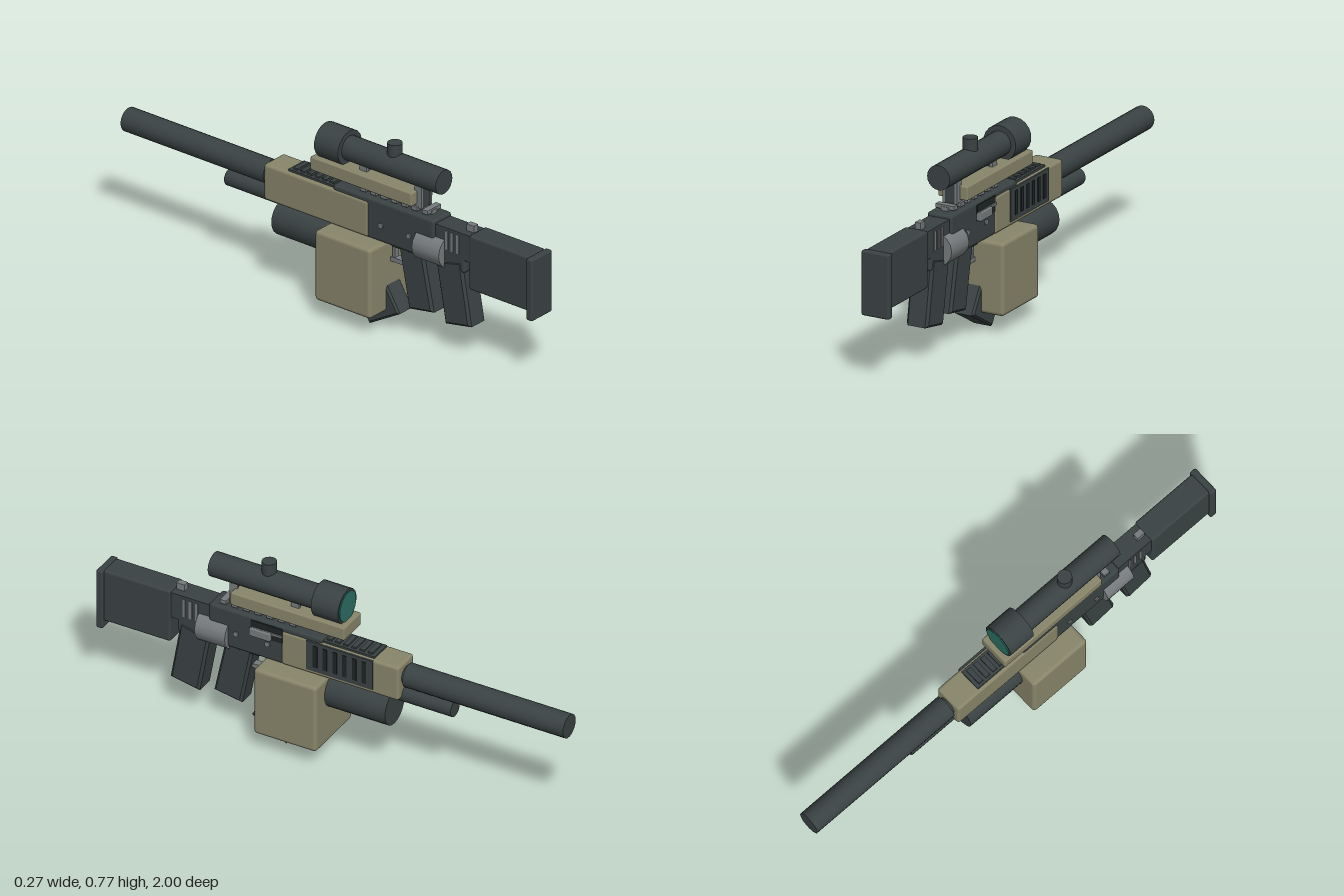
import * as THREE from 'three';
import { RoundedBoxGeometry } from 'three/addons/geometries/RoundedBoxGeometry.js';

const mat = (name, color) => {
  const m = new THREE.MeshStandardMaterial({ color });
  m.name = name;
  return m;
};

export function createModel() {
  const dark = mat('dark gunmetal', 0x3a4243);
  const black = mat('slot black', 0x1f2425);
  const tan = mat('olive tan', 0x88856a);
  const grey = mat('steel grey', 0x777b7d);
  const teal = mat('lens teal', 0x2b6f64);

  const root = new THREE.Group();
  root.name = 'toyBlaster';

  const add = (name, geo, m, x = 0, y = 0, z = 0) => {
    const mesh = new THREE.Mesh(geo, m);
    mesh.name = name;
    mesh.position.set(x, y, z);
    root.add(mesh);
    return mesh;
  };
  // Box from its extents; r rounds the edges
  const box = (name, m, [x0, x1], [y0, y1], [z0, z1], r = 0) => {
    const s = [x1 - x0, y1 - y0, z1 - z0];
    const geo = r ? new RoundedBoxGeometry(...s, 2, r) : new THREE.BoxGeometry(...s);
    return add(name, geo, m, (x0 + x1) / 2, (y0 + y1) / 2, (z0 + z1) / 2);
  };
  const wide = (name, m, w, y, z, r) => box(name, m, [-w, w], y, z, r);
  // Cylinder lying along z
  const tube = (name, m, r, y, [z0, z1], sides = 20) => {
    const geo = new THREE.CylinderGeometry(r, r, z1 - z0, sides).rotateX(Math.PI / 2);
    return add(name, geo, m, 0, y, (z0 + z1) / 2);
  };
  // Side outline of [z, y] points, extruded across x with bevelled edges
  const slab = (name, m, halfWidth, pts, b = 0.008) => {
    const shape = new THREE.Shape(pts.map(([z, y]) => new THREE.Vector2(-z, y)));
    const geo = new THREE.ExtrudeGeometry(shape, {
      depth: 2 * (halfWidth - b), bevelEnabled: true, bevelSize: b, bevelOffset: -b,
      bevelThickness: b, bevelSegments: 1,
    });
    geo.translate(0, 0, -(halfWidth - b)).rotateY(Math.PI / 2);
    return add(name, geo, m);
  };

  // Stock and receiver
  wide('buttPad', dark, 0.06, [0.268, 0.525], [0.97, 1], 0.008);
  wide('stock', dark, 0.05, [0.3, 0.527], [0.685, 0.975], 0.01);
  wide('rearReceiver', dark, 0.044, [0.41, 0.52], [0.5, 0.69]);
  wide('lowerReceiver', dark, 0.044, [0.355, 0.43], [0.3, 0.66], 0.01);
  wide('receiver', dark, 0.054, [0.365, 0.534], [0.03, 0.52], 0.012);
  wide('rearSight', grey, 0.012, [0.52, 0.548], [0.645, 0.68]);
  for (const z of [0.575, 0.602, 0.629])
    wide('rearFin', grey, 0.047, [0.43, 0.508], [z - 0.006, z + 0.006]);
  tube('sideDrum', grey, 0.08, 0.41, [0.435, 0.565], 16).scale.y = 0.88;

  // Charging handle, port and pins on the left side
  box('portCover', black, [0.05, 0.058], [0.46, 0.522], [0.2, 0.335]);
  box('portPlate', grey, [0.05, 0.063], [0.485, 0.495], [0.2, 0.33]);
  box('chargingHandle', grey, [0.05, 0.073], [0.46, 0.494], [0.245, 0.335], 0.004);
  for (const z of [0.265, 0.4]) {
    const pin = new THREE.CylinderGeometry(0.011, 0.011, 0.118, 10).rotateZ(Math.PI / 2);
    add('pin', pin, grey, 0, 0.435, z);
  }

  // Grips, trigger and angled lower magazine
  slab('rearGrip', dark, 0.047, [[0.69, 0.14], [0.565, 0.117], [0.52, 0.37], [0.645, 0.4]], 0.01);
  slab('frontGrip', dark, 0.042, [[0.505, 0.14], [0.385, 0.12], [0.335, 0.38], [0.455, 0.38]], 0.01);
  wide('triggerGuard', grey, 0.015, [0.278, 0.296], [0.27, 0.355]);
  wide('triggerPost', grey, 0.012, [0.29, 0.37], [0.285, 0.298]);
  slab('lowerMagazine', dark, 0.043, [[0.342, 0.084], [0.195, 0], [0.152, 0.072],
    [0.105, 0.072], [0.06, 0.37], [0.22, 0.37], [0.28, 0.185]]);
  wide('ammoBox', tan, 0.137, [0.077, 0.367], [0.01, 0.28], 0.015);

  // Handguard: tan shell, dark vented panel on the left and dark top
  wide('handguard', tan, 0.059, [0.367, 0.516], [-0.3, 0.205], 0.012);
  box('ventPanel', dark, [0.055, 0.063], [0.385, 0.514], [-0.19, 0.095]);
  for (let i = 0; i < 6; i++) {
    const z = 0.055 - i * 0.042;
    box('ventSlot', black, [0.06, 0.066], [0.405, 0.5], [z - 0.009, z + 0.009]);
  }
  wide('topRail', dark, 0.046, [0.505, 0.524], [-0.19, 0.04]);
  for (let i = 0; i < 6; i++) {
    const z = 0.01 - i * 0.035;
    wide('topRailRib', dark, 0.035, [0.52, 0.531], [z - 0.01, z + 0.01]);
  }

  // Barrels
  tube('barrelCollar', dark, 0.036, 0.457, [-0.33, -0.28]);
  tube('barrel', dark, 0.048, 0.457, [-1, -0.31]);
  tube('lowerTube', dark, 0.035, 0.374, [-0.51, 0]);
  tube('underCylinder', dark, 0.073, 0.293, [-0.25, 0.02]);

  // Accessory rail under the scope
  wide('railSpine', grey, 0.015, [0.525, 0.55], [0.15, 0.48]);
  for (let i = 0; i < 7; i++) {
    const z = 0.465 - i * 0.05;
    wide('railTooth', grey, 0.04, [0.541, 0.557], [z - 0.013, z + 0.013]);
  }

  // Scope mounts and tan cradle
  for (const z of [0.425, 0.16]) {
    wide('mountCore', dark, 0.022, [0.55, 0.645], [z - 0.014, z + 0.014]);
    for (const s of [-1, 1])
      box('mountLeg', grey, [s * 0.026 - 0.005, s * 0.026 + 0.005], [0.55, 0.645], [z - 0.017, z + 0.017]);
  }
  wide('scopeCradle', tan, 0.064, [0.565, 0.621], [-0.07, 0.42], 0.006);

  // Scope
  tube('scopeTube', dark, 0.049, 0.678, [0.06, 0.525]);
  tube('scopeBell', dark, 0.07, 0.678, [-0.046, 0.07], 18);
  tube('scopeLens', teal, 0.062, 0.678, [-0.05, -0.044], 18);
  add('scopeTurret', new THREE.CylinderGeometry(0.029, 0.029, 0.09, 16), dark, 0, 0.724, 0.288);

  return root;
}
